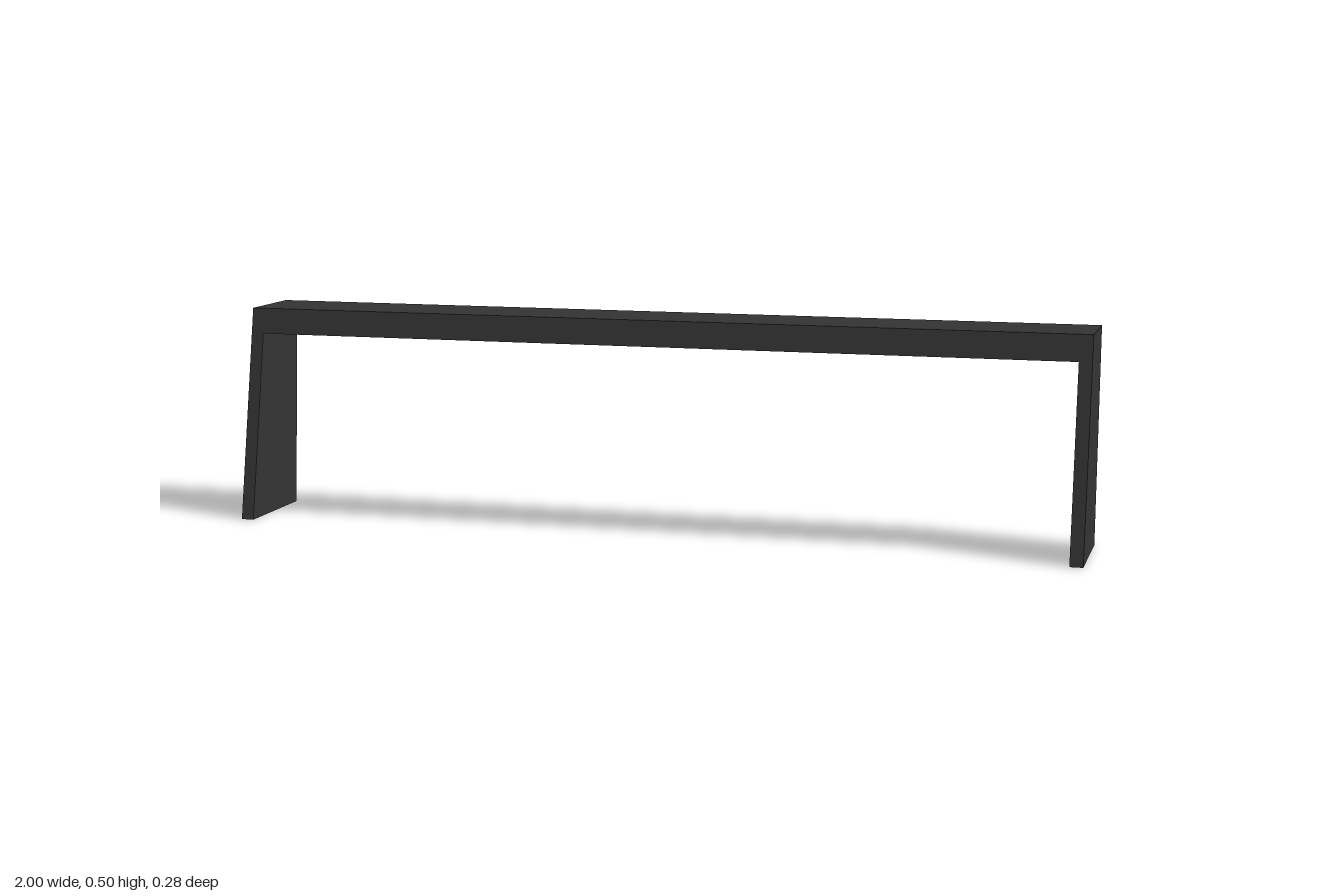
import * as THREE from 'three';

const HEIGHT = 0.5, UNDERSIDE = 0.44, LEG_WIDTH = 0.03;

// Sloping front and back edges of the side profile
const frontZ = (y) => THREE.MathUtils.lerp(0.14, 0.047, y / HEIGHT);
const backZ = (y) => THREE.MathUtils.lerp(-0.108, -0.14, y / HEIGHT);

// Slice of the profile between two heights, extruded along x and centred on x = 0
function profileSlice(y0, y1, width) {
  const shape = new THREE.Shape([
    new THREE.Vector2(-frontZ(y0), y0),
    new THREE.Vector2(-backZ(y0), y0),
    new THREE.Vector2(-backZ(y1), y1),
    new THREE.Vector2(-frontZ(y1), y1),
  ]);
  return new THREE.ExtrudeGeometry(shape, { depth: width, bevelEnabled: false })
    .translate(0, 0, -width / 2)
    .rotateY(Math.PI / 2);
}

export function createModel() {
  const model = new THREE.Group();
  model.name = 'bench';

  const charcoal = new THREE.MeshStandardMaterial({ color: 0x333333 });
  charcoal.name = 'charcoal';

  // Full-width top beam
  const beam = new THREE.Mesh(profileSlice(UNDERSIDE, HEIGHT, 2), charcoal);
  beam.name = 'topBeam';
  model.add(beam);

  // Tapered end panels
  const legGeometry = profileSlice(0, UNDERSIDE, LEG_WIDTH);
  for (const [name, side] of [['leftLeg', 1], ['rightLeg', -1]]) {
    const leg = new THREE.Mesh(legGeometry, charcoal);
    leg.name = name;
    leg.position.x = side * (1 - LEG_WIDTH / 2);
    model.add(leg);
  }

  return model;
}
